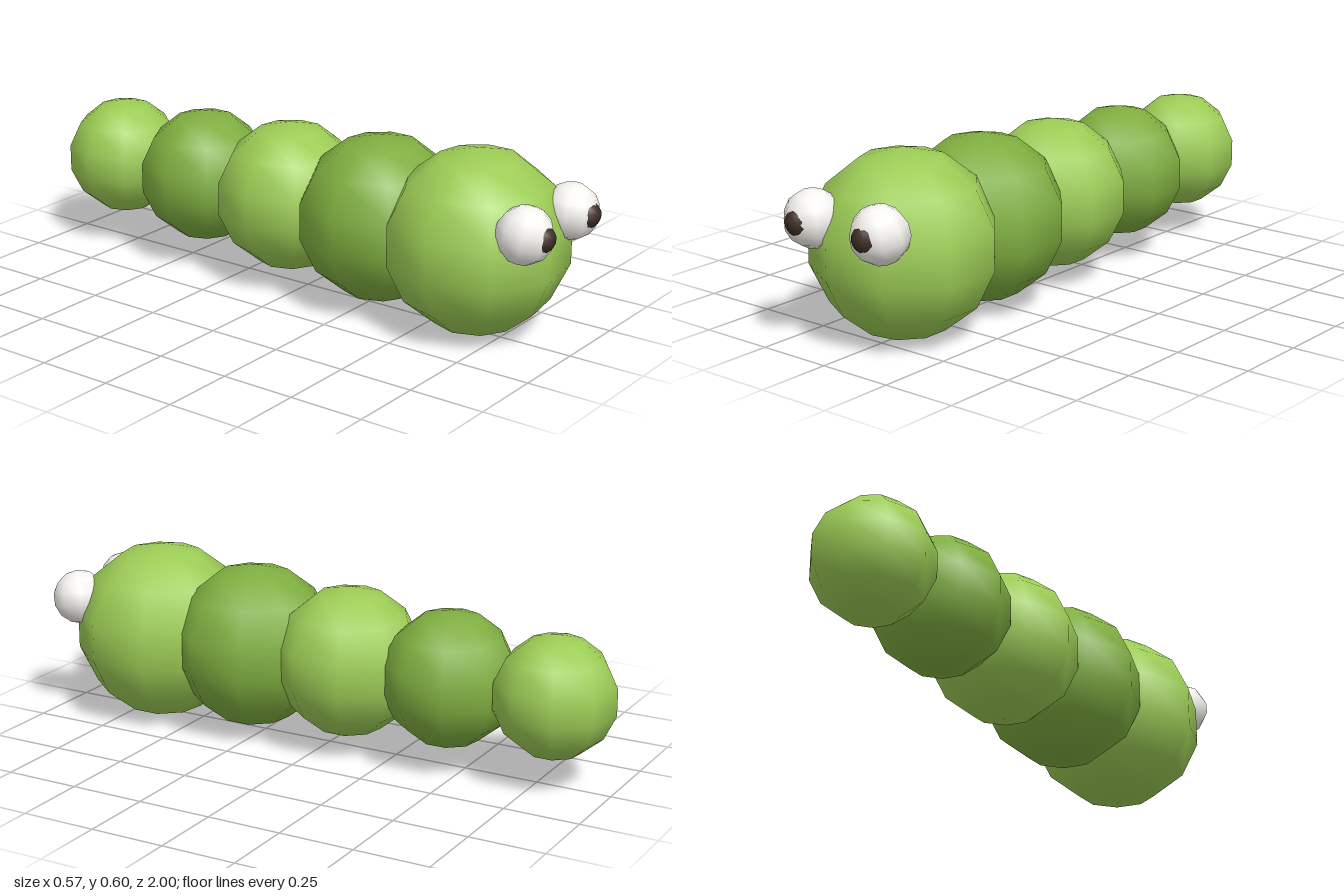
import * as THREE from 'three';

const mat = (color) => new THREE.MeshStandardMaterial({ color });
const CX = 0.0085; // the nine-sided spheres reach further on one side, so shift them

export function createModel() {
  const group = new THREE.Group();
  const lightGreen = mat(0x9ccc55);
  const darkGreen = mat(0x7fae40);
  const white = mat(0xf5f3ee);
  const dark = mat(0x3e2d26);

  // Coarse, smooth-shaded ball
  const ball = (name, radius, material, x, y, z) => {
    const mesh = new THREE.Mesh(new THREE.SphereGeometry(radius, 9, 7), material);
    mesh.name = name;
    mesh.position.set(x, y, z);
    group.add(mesh);
    return mesh;
  };

  // Head and four body segments, shrinking towards the tail
  const names = ['head', 'bodySegment1', 'bodySegment2', 'bodySegment3', 'tail'];
  names.forEach((name, i) => {
    ball(name, 0.3 - i * 0.025, i % 2 ? darkGreen : lightGreen, CX, 0.301, 0.65 - i * 0.364);
  });

  // Bulging eyes with pupils
  for (const [side, s] of [['left', 1], ['right', -1]]) {
    const x = CX + s * 0.136;
    const eye = ball(side + 'Eye', 0.092, white, x, 0.41, 0.9);
    eye.rotation.set(0.15, s * 0.3, s * 0.12);
    ball(side + 'Pupil', 0.046, dark, x, 0.41, 0.955);
  }
  return group;
}
